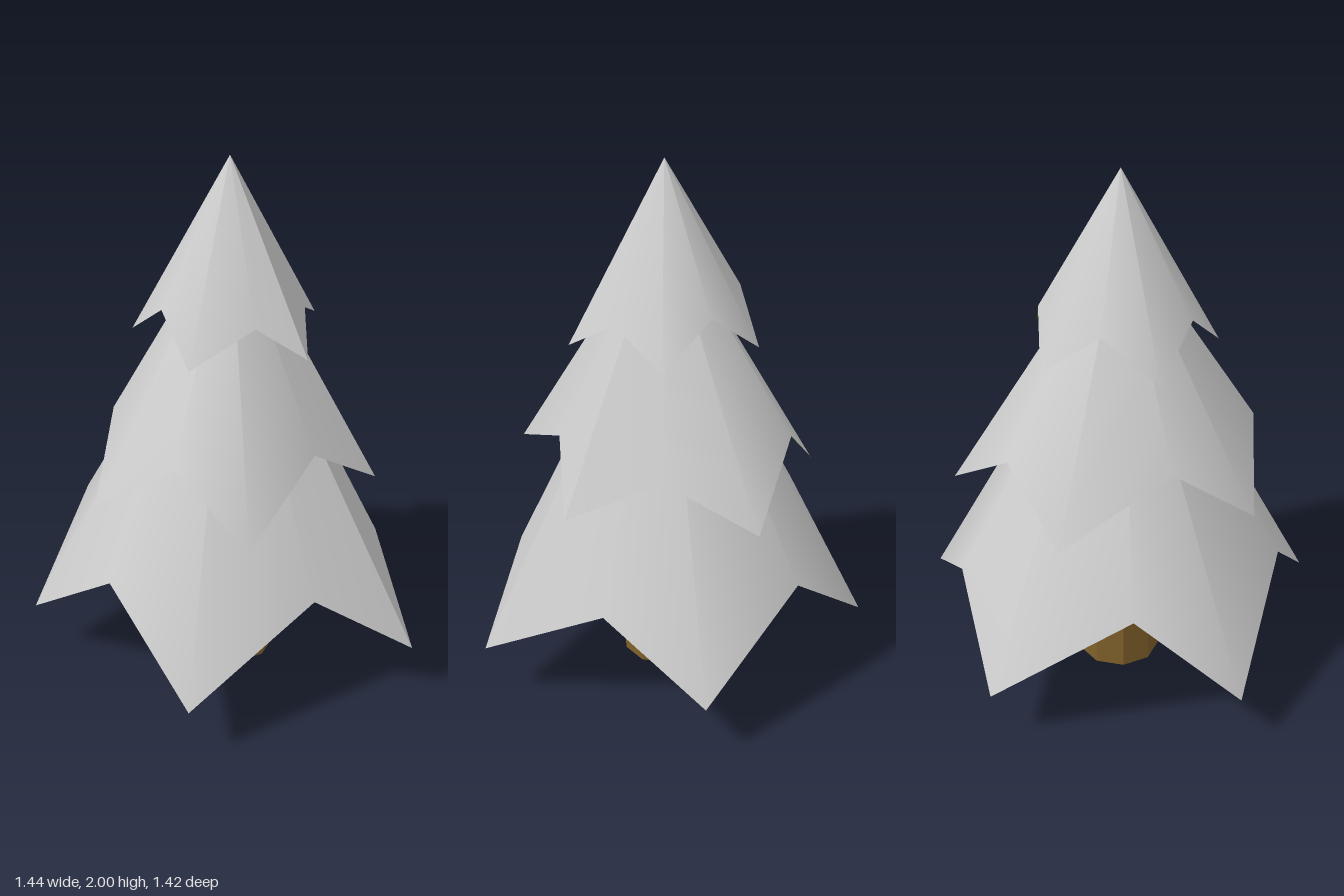
import * as THREE from 'three';
import { toCreasedNormals } from 'three/addons/utils/BufferGeometryUtils.js';

const CX = -0.025, CZ = 0.05; // trunk axis

// Hem points of each canopy, turning from +x towards +z: tips [x, z], valleys [x, z, y]
const TIERS = [
  {
    name: 'lowerBranches', apex: 1.65, inner: 0.66, tipY: 0.22,
    tips: [[0.05, -0.712], [0.722, -0.115], [0.36, 0.71], [-0.532, 0.62], [-0.723, -0.26]],
    valleys: [[0.335, -0.385, 0.455], [0.505, 0.2, 0.49], [-0.06, 0.665, 0.555], [-0.615, 0.24, 0.56], [-0.38, -0.465, 0.51]],
  },
  {
    name: 'middleBranches', apex: 1.79, inner: 1.12, tipY: 0.792,
    tips: [[-0.195, -0.54], [0.432, -0.235], [0.427, 0.465], [-0.2, 0.587], [-0.585, -0.035]],
    valleys: [[0.1, -0.355, 0.95], [0.375, 0.055, 0.98], [0.13, 0.52, 1.025], [-0.365, 0.32, 1.025], [-0.41, -0.265, 1.02]],
  },
  {
    name: 'upperBranches', apex: 2, inner: 1.56, tipY: 1.34,
    tips: [[0.085, -0.29], [0.332, 0.05], [0.085, 0.388], [-0.313, 0.26], [-0.313, -0.165]],
    valleys: [[0.2, -0.09, 1.455], [0.2, 0.175, 1.46], [-0.1, 0.325, 1.495], [-0.313, 0.05, 1.5], [-0.115, -0.225, 1.495]],
  },
];

function triangles(name, corners, material) {
  const g = new THREE.BufferGeometry();
  g.setAttribute('position', new THREE.Float32BufferAttribute(corners.flat(), 3));
  const mesh = new THREE.Mesh(toCreasedNormals(g, THREE.MathUtils.degToRad(45)), material);
  mesh.name = name;
  return mesh;
}

export function createModel() {
  const tree = new THREE.Group();
  tree.name = 'pineTree';
  const snow = new THREE.MeshStandardMaterial({ color: 0xcccccc });
  const green = new THREE.MeshStandardMaterial({ color: 0x4a7a22 });
  const bark = new THREE.MeshStandardMaterial({ color: 0x80602a, flatShading: true });

  // Nine-sided trunk with a corner towards +x
  const trunk = new THREE.Mesh(new THREE.CylinderGeometry(0.157, 0.157, 0.68, 9, 1, false, Math.PI / 2), bark);
  trunk.name = 'trunk';
  trunk.position.set(CX, 0.34, CZ);
  tree.add(trunk);

  // Three star-shaped canopies: snowy outside, green underside
  for (const t of TIERS) {
    const peak = [CX, t.apex, CZ], hub = [CX, t.inner, CZ];
    const tips = t.tips.map(([x, z]) => [x, t.tipY, z]);
    const valleys = t.valleys.map(([x, z, y]) => [x, y, z]);
    const outer = [], under = [];
    tips.forEach((tip, i) => {
      const before = valleys[(i + 4) % 5], after = valleys[i];
      outer.push(peak, tip, before, peak, after, tip);
      // Each point is closed by one flap; shallow facets rise to the trunk
      under.push(before, tip, after, hub, before, after);
    });
    const tier = new THREE.Group();
    tier.name = t.name;
    tier.add(triangles('snowCover', outer, snow), triangles('greenUnderside', under, green));
    tree.add(tier);
  }
  return tree;
}
